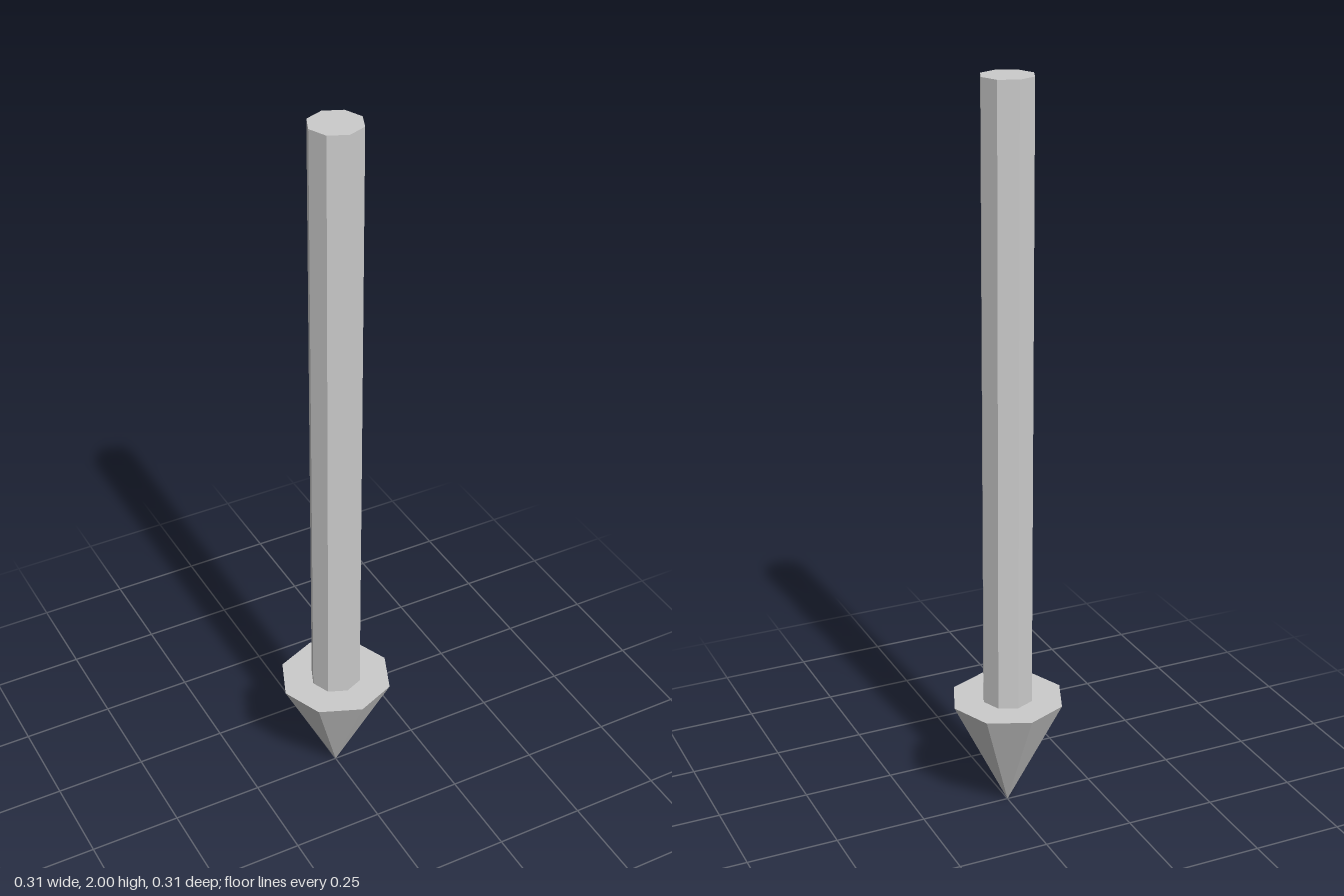
import * as THREE from 'three';

const SIDES = 8;
const HEAD_HEIGHT = 0.32;
const TOTAL_HEIGHT = 2;

export function createModel() {
  const group = new THREE.Group();
  group.name = 'downArrow';
  const material = new THREE.MeshStandardMaterial({ color: 0xcccccc, flatShading: true });

  // Adds a mesh spanning bottom to top on the y axis
  const addPart = (name, geometry, bottom, top) => {
    const mesh = new THREE.Mesh(geometry, material);
    mesh.name = name;
    mesh.position.y = (bottom + top) / 2;
    group.add(mesh);
  };

  // Octagonal shaft
  const shaftLength = TOTAL_HEIGHT - HEAD_HEIGHT;
  addPart('shaft', new THREE.CylinderGeometry(0.07, 0.07, shaftLength, SIDES), HEAD_HEIGHT, TOTAL_HEIGHT);

  // Eight-sided head with its point on the ground
  const head = new THREE.ConeGeometry(0.156, HEAD_HEIGHT, SIDES).rotateX(Math.PI);
  addPart('arrowHead', head, 0, HEAD_HEIGHT);

  return group;
}
